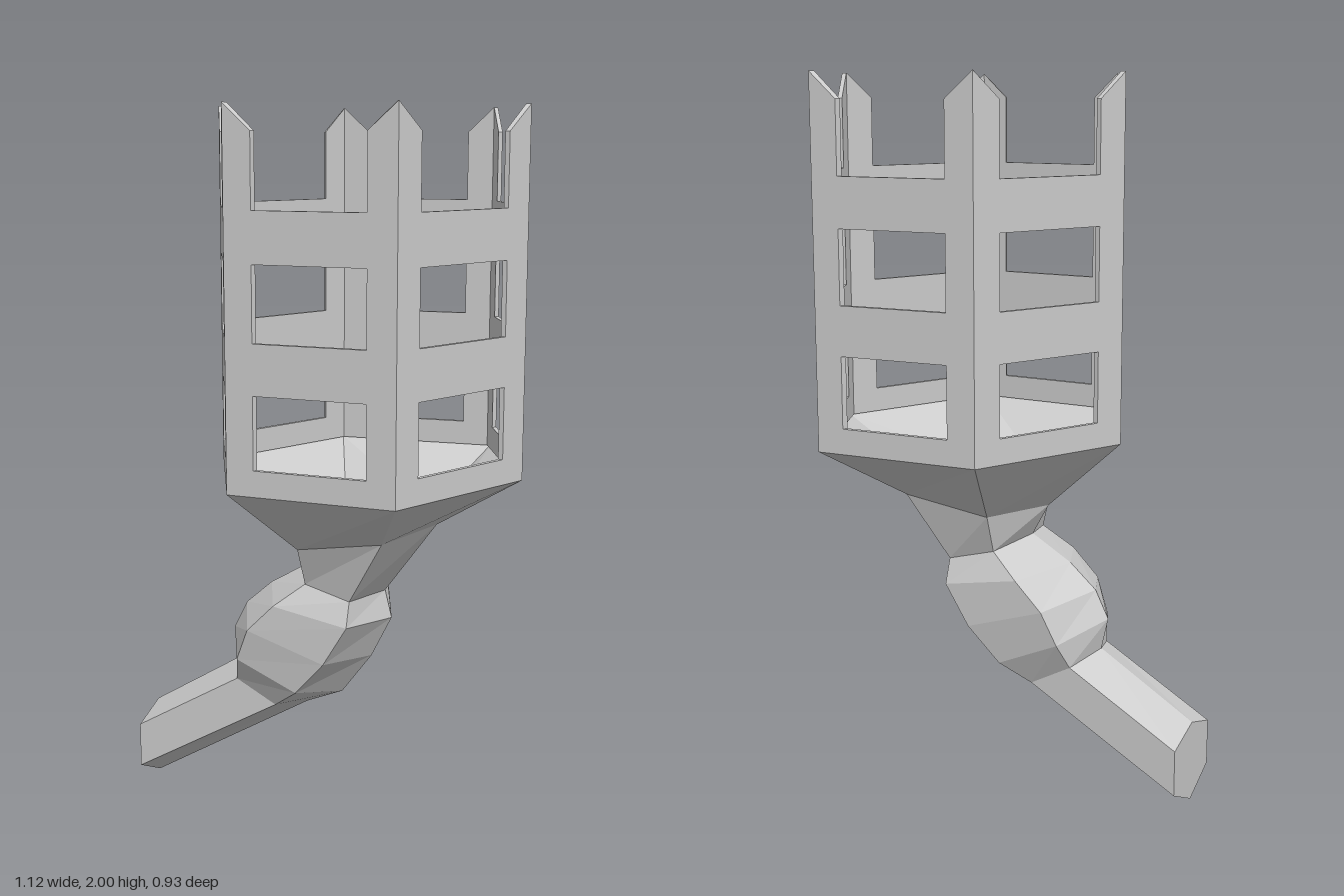
import * as THREE from 'three';

const material = new THREE.MeshStandardMaterial({ color: 0xcccccc, flatShading: true, side: THREE.DoubleSide });

// Half ring [x, y, z] of four points (rear, rear side, fore side, fore), mirrored in z into a six-point ring
function ring(d, c, b, a) {
  const m = ([x, y, z]) => [x, y, -z];
  return [c, b, a, m(b), m(c), d];
}

const rim = ring([-0.33, 1, 0], [-0.12, 1, 0.445], [0.35, 1, 0.465], [0.56, 1, 0]);
const funnel = ring([-0.11, 0.8, 0], [-0.02, 0.8, 0.2], [0.23, 0.84, 0.215], [0.32, 0.855, 0]);
const neck = ring([-0.06, 0.71, 0], [-0.015, 0.69, 0.155], [0.12, 0.655, 0.165], [0.17, 0.65, 0]);
const upperBulb = ring([-0.18, 0.64, 0], [-0.1, 0.625, 0.187], [0.12, 0.585, 0.19], [0.19, 0.57, 0]);
const lowerBulb = ring([-0.26, 0.57, 0], [-0.18, 0.545, 0.187], [0.05, 0.47, 0.187], [0.13, 0.45, 0]);
const bulbEnd = ring([-0.3, 0.49, 0], [-0.22, 0.45, 0.17], [-0.04, 0.37, 0.17], [0.04, 0.33, 0]);
const stemTop = ring([-0.28, 0.4, 0], [-0.24, 0.375, 0.125], [-0.12, 0.31, 0.125], [-0.07, 0.285, 0]);
const stemEnd = ring([-0.56, 0.23, 0], [-0.56, 0.19, 0.125], [-0.56, 0.06, 0.125], [-0.56, 0, 0]);

// Skin over successive six-point rings, optionally closed at the last one
function loft(name, rings, capped = false) {
  const index = [];
  for (let r = 0; r < rings.length - 1; r++) {
    for (let i = 0; i < 6; i++) {
      const j = (i + 1) % 6;
      const tl = r * 6 + i, tr = r * 6 + j, bl = tl + 6, br = tr + 6;
      index.push(tl, bl, tr, tr, bl, br);
    }
  }
  if (capped) {
    const o = (rings.length - 1) * 6;
    for (let i = 1; i < 5; i++) index.push(o, o + i + 1, o + i);
  }
  const g = new THREE.BufferGeometry();
  g.setAttribute('position', new THREE.Float32BufferAttribute(rings.flat(2), 3));
  g.setIndex(index);
  g.computeVertexNormals();
  const mesh = new THREE.Mesh(g, material);
  mesh.name = name;
  return mesh;
}

// Flat wall outline: u runs 0..1 along the side, pointed posts rise at both ends
const U0 = 0.165, U1 = 0.83;
function wallShape() {
  const points = [[0, 1], [1, 1], [1, 2], [U1, 1.93], [U1, 1.735], [U0, 1.735], [U0, 1.93], [0, 2]];
  const shape = new THREE.Shape(points.map(([u, y]) => new THREE.Vector2(u, y)));
  for (const [y0, y1] of [[1.07, 1.265], [1.4, 1.6]]) {
    const corners = [[U0, y0], [U0, y1], [U1, y1], [U1, y0]];
    shape.holes.push(new THREE.Path(corners.map(([u, y]) => new THREE.Vector2(u, y))));
  }
  return shape;
}

// Wall placed between two rim corners, mitred towards the middle of the cage
function wall(i) {
  const p = rim[i], q = rim[(i + 1) % 6], centre = 0.115, inset = 0.032;
  const g = new THREE.ExtrudeGeometry(wallShape(), { depth: 1, bevelEnabled: false });
  const pos = g.attributes.position;
  for (let k = 0; k < pos.count; k++) {
    const u = pos.getX(k), s = 1 - inset * (1 - pos.getZ(k));
    const x = p[0] + (q[0] - p[0]) * u, z = p[2] + (q[2] - p[2]) * u;
    pos.setXYZ(k, centre + (x - centre) * s, pos.getY(k), z * s);
  }
  g.computeVertexNormals();
  const mesh = new THREE.Mesh(g, material);
  mesh.name = 'cageWall' + (i + 1);
  return mesh;
}

export function createModel() {
  const model = new THREE.Group();
  model.name = 'hexagonalBasketOnStem';

  // Six windowed walls
  const cage = new THREE.Group();
  cage.name = 'cage';
  for (let i = 0; i < 6; i++) cage.add(wall(i));

  // Funnel below the cage, swollen joint and slanting stem
  model.add(
    cage,
    loft('funnel', [rim, funnel, neck]),
    loft('bulb', [neck, upperBulb, lowerBulb, bulbEnd, stemTop]),
    loft('stem', [stemTop, stemEnd], true),
  );
  return model;
}
